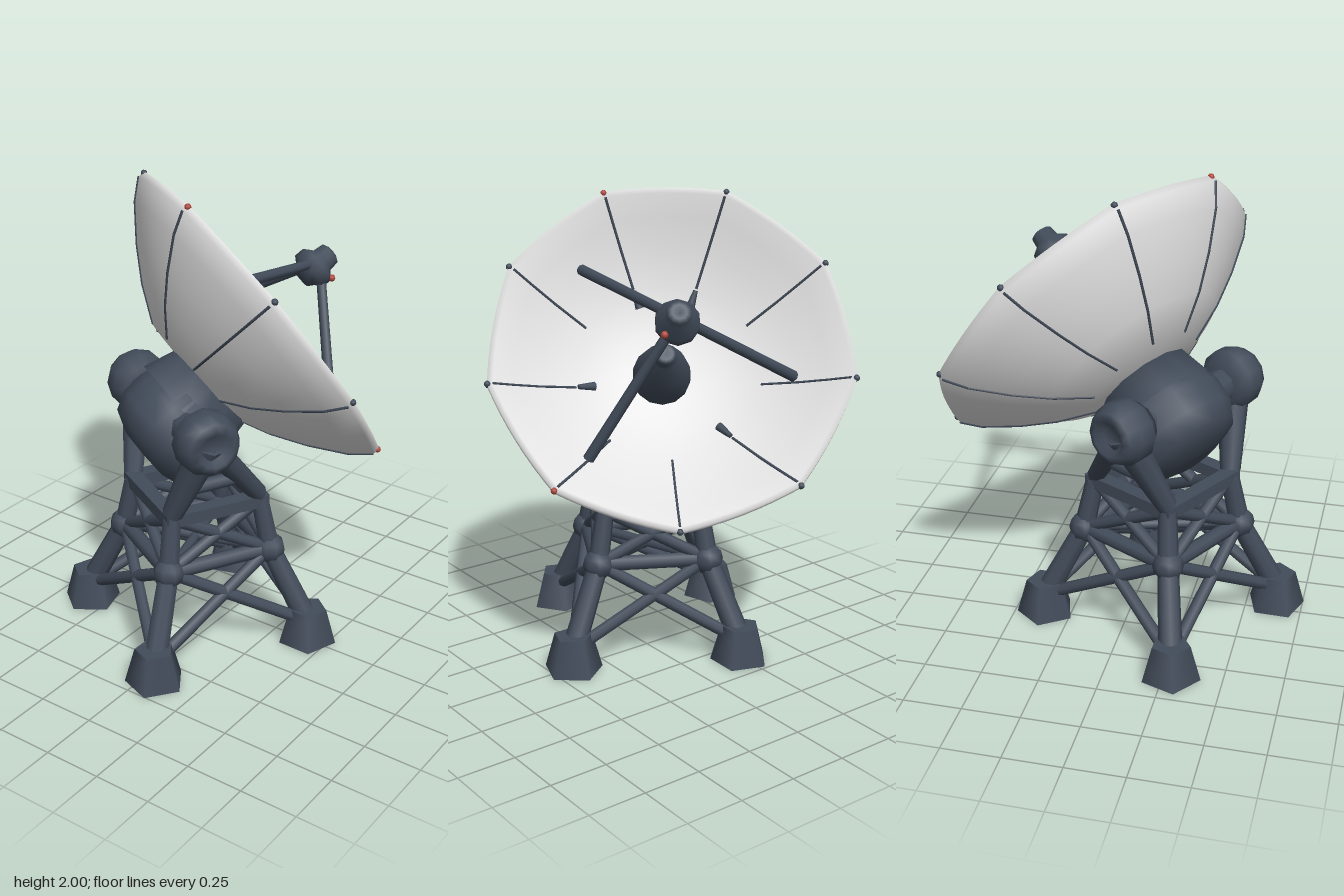
import * as THREE from 'three';

const steel = new THREE.MeshStandardMaterial({ color: 0x424c5a });
steel.name = 'dark steel';
const white = new THREE.MeshStandardMaterial({ color: 0xe4e4e4 });
white.name = 'dish white';
const red = new THREE.MeshStandardMaterial({ color: 0xb0483f });
red.name = 'beacon red';

const V = (x, y, z) => new THREE.Vector3(x, y, z);
const rad = THREE.MathUtils.degToRad;

function add(parent, name, geometry, material, position) {
  const mesh = new THREE.Mesh(geometry, material);
  mesh.name = name;
  if (position) mesh.position.copy(position);
  parent.add(mesh);
  return mesh;
}

// Round bar between two points, optionally tapered
function bar(parent, name, a, b, r, r2 = r, sides = 8) {
  const dir = b.clone().sub(a);
  const mesh = add(parent, name, new THREE.CylinderGeometry(r2, r, dir.length(), sides), steel,
    a.clone().add(b).multiplyScalar(0.5));
  mesh.quaternion.setFromUnitVectors(V(0, 1, 0), dir.normalize());
  return mesh;
}

// Turned part; profile pairs are [radius, height], listed bottom to top
const lathe = (profile, segments) =>
  new THREE.LatheGeometry(profile.map(([r, h]) => new THREE.Vector2(r, h)), segments);

function buildTower() {
  const tower = new THREE.Group();
  tower.name = 'tower';
  const corner = (i, r, y) => {
    const a = Math.PI / 4 + i * Math.PI / 2;
    return V(r * Math.cos(a), y, r * Math.sin(a));
  };
  const foot = i => corner(i, 0.518, 0.09);
  const node = i => corner(i, 0.34, 0.43);
  const top = i => corner(i, 0.292, 0.662);

  for (let i = 0; i < 4; i++) {
    const j = i + 1;
    // Footing, leg and joint at each corner
    const f = foot(i);
    add(tower, 'foot', new THREE.CylinderGeometry(0.085, 0.13, 0.16, 5), steel, V(f.x, 0.08, f.z))
      .rotation.y = -Math.atan2(f.z, f.x) + Math.PI / 2;
    bar(tower, 'lowerLeg', f, node(i), 0.052, 0.045);
    bar(tower, 'upperLeg', node(i), top(i), 0.046, 0.04);
    add(tower, 'joint', new THREE.SphereGeometry(0.068, 8, 6), steel, node(i));
    // Bracing on each side
    bar(tower, 'midBeam', node(i), node(j), 0.034);
    bar(tower, 'lowerBrace', foot(i), node(j), 0.027);
    bar(tower, 'lowerBrace', foot(j), node(i), 0.027);
    bar(tower, 'upperBrace', node(i), top(j), 0.027);
    bar(tower, 'upperBrace', node(j), top(i), 0.027);
    // Platform edge
    const a = top(i), b = top(j);
    const beam = add(tower, 'platformBeam', new THREE.BoxGeometry(a.distanceTo(b) + 0.06, 0.055, 0.065),
      steel, a.clone().add(b).multiplyScalar(0.5));
    beam.rotation.y = i % 2 ? Math.PI / 2 : 0;
  }
  for (let i = 0; i < 2; i++) bar(tower, 'crossBeam', node(i), node(i + 2), 0.022);

  // Fork arms and elevation bearings
  const bearing = lathe([[0, -0.1], [0.1, -0.1], [0.135, -0.05], [0.135, 0.02], [0.11, 0.07],
    [0.075, 0.085], [0.05, 0.05], [0, 0.05]], 12);
  for (const s of [1, -1]) {
    const hub = V(s * 0.36 + 0.015, 1.055, -0.105);
    add(tower, 'bearing', bearing, steel, hub).rotation.z = -s * Math.PI / 2;
    bar(tower, 'forkArm', V(s * 0.205, 0.69, 0.2), hub, 0.04, 0.055);
    bar(tower, 'forkArm', V(s * 0.21, 0.69, -0.205), hub, 0.045, 0.075);
    bar(tower, 'forkTie', V(s * 0.255, 0.82, 0.085), V(s * 0.265, 0.82, -0.165), 0.03);
    bar(tower, 'axle', hub, V(0, 1.04, -0.13), 0.075);
  }
  return tower;
}

function buildDish() {
  const dish = new THREE.Group();
  dish.name = 'dish';
  const inside = [[0.4, -0.236], [0.55, -0.145], [0.66, -0.066], [0.745, 0]];
  const outside = [[0.26, -0.375], [0.42, -0.3], [0.56, -0.212], [0.7, -0.105], [0.77, -0.025]];

  // Nine-sided bowl with slightly bowed edges
  const bowl = lathe([[0, -0.385], ...outside, [0.768, 0.006], ...[...inside].reverse(),
    [0.2, -0.315], [0, -0.33]], 72).rotateX(Math.PI / 2);
  const p = bowl.attributes.position;
  const step = Math.PI * 2 / 9;
  for (let i = 0; i < p.count; i++) {
    const x = p.getX(i), y = p.getY(i);
    const a = Math.atan2(y, x) + Math.PI / 2 + 2 * Math.PI;
    const off = (a % step) - step / 2;
    const flat = Math.cos(step / 2) / Math.cos(off);
    const k = 1 + (flat - 1) * 0.6 * Math.min(1, Math.hypot(x, y) / 0.6);
    p.setXY(i, x * k, y * k);
  }
  add(dish, 'bowl', bowl, white);

  // Panel seams, rim clips and seam ends
  const ray = (deg, r, z) => V(r * Math.cos(rad(deg)), r * Math.sin(rad(deg)), z);
  for (let k = 0; k < 9; k++) {
    const deg = 270 + 40 * k;
    for (const [name, line] of [['innerSeam', inside], ['outerSeam', outside]]) {
      for (let i = 0; i + 1 < line.length; i++)
        bar(dish, name, ray(deg, ...line[i]), ray(deg, ...line[i + 1]), 0.006, 0.006, 5);
    }
    const beacon = k === 5 || k === 8;
    add(dish, beacon ? 'rimBeacon' : 'rimClip', new THREE.SphereGeometry(0.014, 8, 6),
      beacon ? red : steel, ray(deg, 0.766, 0));
  }
  for (const deg of [70, 110, 190, 310])
    bar(dish, 'seamEnd', ray(deg, 0.32, -0.265), ray(deg, 0.39, -0.232), 0.02, 0.01);

  // Central horn
  add(dish, 'horn', lathe([[0, -0.33], [0.125, -0.32], [0.125, -0.27], [0.1, -0.18], [0.056, -0.075],
    [0.045, -0.07], [0.045, -0.04], [0.03, -0.03], [0, -0.035]], 14).rotateX(Math.PI / 2), steel,
    V(-0.025, 0, 0));

  // Receiver held by three struts
  add(dish, 'receiver', lathe([[0, 0.235], [0.045, 0.235], [0.06, 0.26], [0.09, 0.28], [0.09, 0.325],
    [0.055, 0.355], [0.05, 0.4], [0.03, 0.41], [0, 0.4]], 10).rotateX(Math.PI / 2), steel);
  for (const [deg, r, z] of [[131, 0.55, -0.11], [231, 0.56, -0.075], [351, 0.52, -0.11]])
    bar(dish, 'strut', ray(deg, r, z), ray(deg, 0.05, 0.305), 0.024, 0.021);
  add(dish, 'receiverBeacon', new THREE.SphereGeometry(0.016, 8, 6), red, V(-0.055, -0.065, 0.335));

  // Drive housing behind the bowl
  add(dish, 'housingNeck', lathe([[0.25, -0.52], [0.21, -0.345], [0, -0.345]], 12).rotateX(Math.PI / 2),
    steel, V(-0.05, -0.09, 0));
  add(dish, 'housing', lathe([[0, -0.765], [0.12, -0.76], [0.22, -0.725], [0.262, -0.65], [0.27, -0.55],
    [0.25, -0.46], [0.18, -0.4], [0, -0.39]], 16).rotateX(Math.PI / 2), steel, V(-0.06, -0.125, 0));
  return dish;
}

export function createModel() {
  const model = new THREE.Group();
  model.name = 'radioTelescope';
  const tower = buildTower();
  tower.position.set(-0.133, 0, -0.092);
  tower.rotation.y = rad(61.4);
  const dish = buildDish();
  dish.position.set(0.192, 1.395, 0.013);
  dish.rotation.set(rad(-35), rad(57), 0, 'YXZ');
  model.add(tower, dish);
  return model;
}
